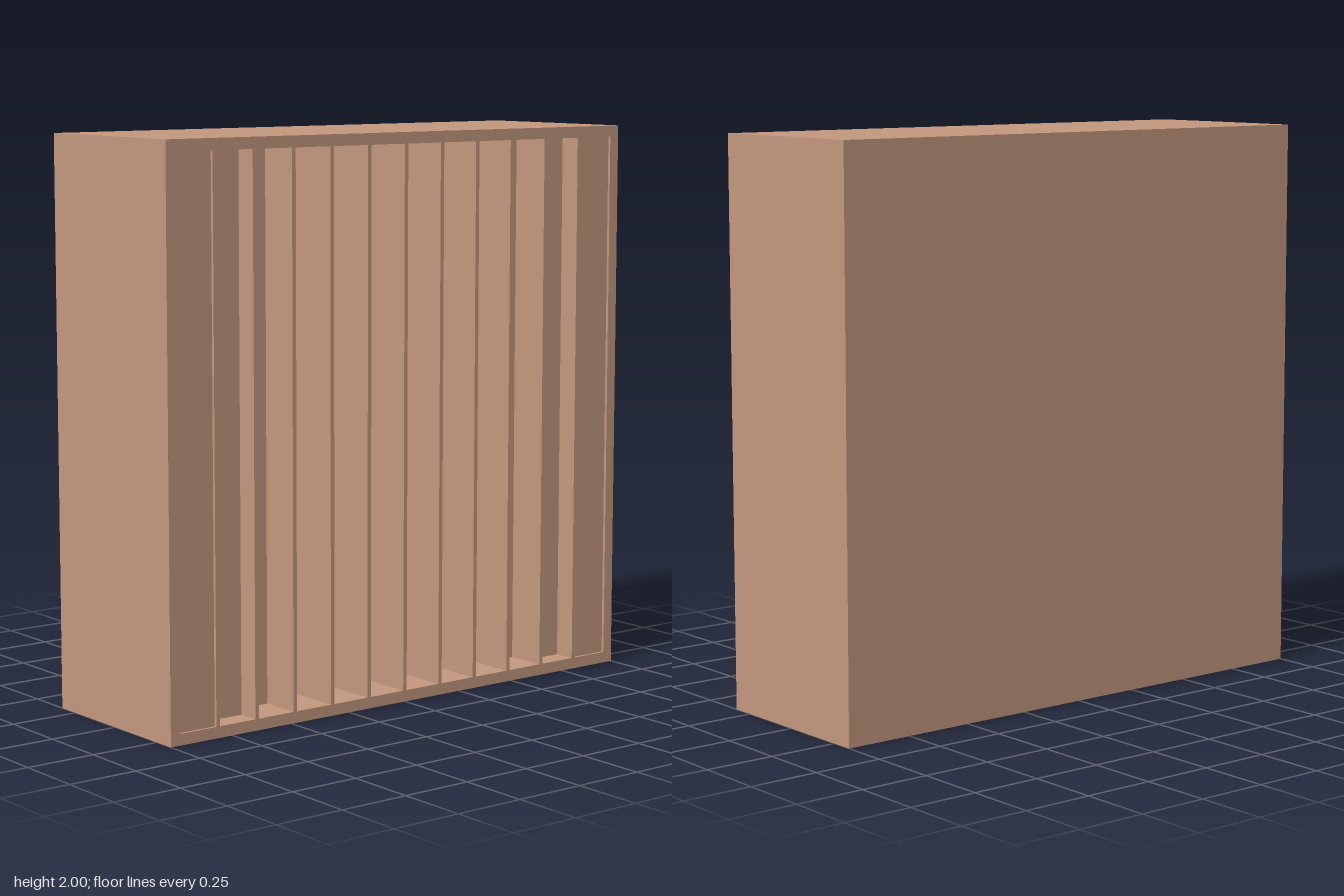
import * as THREE from 'three';

const W = 2, H = 2, D = 0.667;
const SLOTS = 12, PITCH = 0.1615, SLOT_W = 0.146, SLOT_H = 1.92;

// Box without its front (+z) face; inward = true makes it a cavity seen from inside
function openBox(w, h, d, inward) {
  const g = new THREE.BoxGeometry(w, h, d);
  const index = Array.from(g.index.array).filter((_, i) => i < 24 || i >= 30);
  g.setIndex(inward ? index.reverse() : index);
  g.clearGroups();
  if (inward) {
    const n = g.attributes.normal;
    for (let i = 0; i < n.count; i++) n.setXYZ(i, -n.getX(i), -n.getY(i), -n.getZ(i));
  }
  return g;
}

function rectangle(path, x, y, w, h) {
  path.moveTo(x - w / 2, y - h / 2);
  path.lineTo(x + w / 2, y - h / 2);
  path.lineTo(x + w / 2, y + h / 2);
  path.lineTo(x - w / 2, y + h / 2);
  path.closePath();
  return path;
}

export function createModel() {
  const group = new THREE.Group();
  group.name = 'slottedPanel';
  const wood = new THREE.MeshStandardMaterial({ color: 0xc4987e });
  wood.name = 'warm wood';

  const add = (name, geometry, x, y, z) => {
    const mesh = new THREE.Mesh(geometry, wood);
    mesh.name = name;
    mesh.position.set(x, y, z);
    group.add(mesh);
  };

  // Outer case: sides, top, bottom and back
  add('case', openBox(W, H, D, false), 0, H / 2, 0);

  // Wells grow deeper towards the middle
  const face = rectangle(new THREE.Shape(), 0, 0, W, H);
  for (let i = 0; i < SLOTS; i++) {
    const x = (i - (SLOTS - 1) / 2) * PITCH;
    const depth = 0.01 + 0.07 * Math.min(i, SLOTS - 1 - i);
    face.holes.push(rectangle(new THREE.Path(), x, 0, SLOT_W, SLOT_H));
    add(`well${i + 1}`, openBox(SLOT_W, SLOT_H, depth, true), x, H / 2, D / 2 - depth / 2);
  }

  // Front face with the well openings, leaving thin fins between them
  add('frontFrame', new THREE.ShapeGeometry(face), 0, H / 2, D / 2);

  return group;
}
